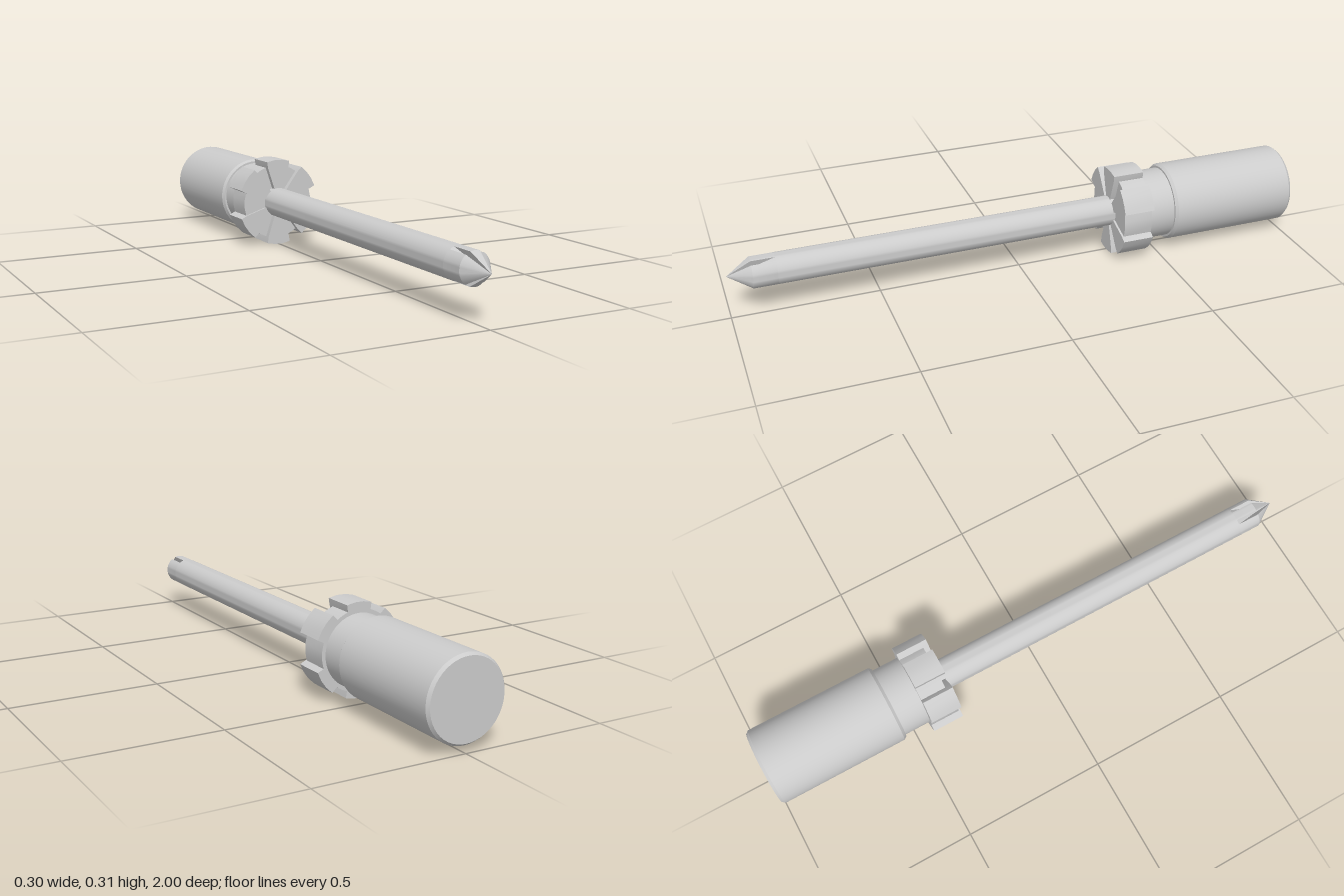
import * as THREE from 'three';
import { toCreasedNormals } from 'three/addons/utils/BufferGeometryUtils.js';

const AXIS_Y = 0.158;
const rad = THREE.MathUtils.degToRad;
const material = new THREE.MeshStandardMaterial({ color: 0xcccccc, side: THREE.DoubleSide });

// Profile points are [radius, z]; the sector runs from angle a to b in degrees.
function turned(profile, segments = 48, a = -90, b = 270) {
  const points = profile.map(([r, z]) => new THREE.Vector2(r, z));
  const geo = new THREE.LatheGeometry(points, segments, rad(a + 90), rad(b - a));
  geo.rotateX(Math.PI / 2);
  return toCreasedNormals(geo, rad(30));
}

// Pie-shaped block between z0 and z1; the edge may taper to a narrower rim.
function sector(mid, half, rimHalf, rInner, rOuter, z0, z1) {
  const polar = (r, deg) => new THREE.Vector2(r * Math.cos(rad(deg)), r * Math.sin(rad(deg)));
  const points = [polar(0.03, mid - half), polar(rInner, mid - half)];
  for (let i = 0; i <= 3; i++) points.push(polar(rOuter, mid + rimHalf * (i * 2 / 3 - 1)));
  points.push(polar(rInner, mid + half), polar(0.03, mid + half));
  const geo = new THREE.ExtrudeGeometry(new THREE.Shape(points), { depth: z1 - z0, bevelEnabled: false });
  geo.translate(0, 0, z0);
  return toCreasedNormals(geo, rad(20));
}

export function createModel() {
  const group = new THREE.Group();
  const add = (name, geo, parent = group) => {
    const mesh = new THREE.Mesh(geo, material);
    mesh.name = name;
    parent.add(mesh);
    return mesh;
  };
  const body = new THREE.Group();
  body.name = 'screwdriver';
  body.position.y = AXIS_Y;
  group.add(body);

  // Handle with chamfered ends and the narrower neck
  add('handle', turned([
    [0, -1], [0.128, -1], [0.136, -0.99], [0.136, -0.548], [0.129, -0.538],
    [0.122, -0.538], [0.122, -0.44], [0, -0.44],
  ]), body);

  // Shaft up to where the tip flutes begin
  add('shaft', turned([[0.053, -0.44], [0.053, 0.84]], 40), body);

  // Collar: six raised lugs with recessed sectors between them
  const collar = new THREE.Group();
  collar.name = 'collar';
  body.add(collar);
  for (const mid of [36, 90, 144, 216, 270, 324]) {
    add('collarLug', sector(mid, 18, 16.6, 0.134, 0.158, -0.445, -0.335), collar);
  }
  for (const mid of [0, 180]) {
    add('collarWideGap', sector(mid, 18, 18, 0.135, 0.135, -0.445, -0.342), collar);
  }
  for (const mid of [63, 117, 243, 297]) {
    add('collarNarrowGap', sector(mid, 9, 9, 0.135, 0.135, -0.445, -0.355), collar);
  }

  // Pointed tip: ribs separated by four sloping flutes with radial walls
  const tip = new THREE.Group();
  tip.name = 'tip';
  body.add(tip);
  for (const [a, b] of [[-54, 54], [72, 108], [126, 234], [252, 288]]) {
    add('tipRib', turned([[0.053, 0.84], [0.053, 0.92], [0, 1]], Math.round((b - a) / 9), a, b), tip);
  }
  for (const mid of [63, 117, 243, 297]) {
    add('fluteFloor', turned([[0.053, 0.84], [0.022, 0.92], [0, 1]], 3, mid - 9, mid + 9), tip);
    for (const side of [-9, 9]) {
      const c = Math.cos(rad(mid + side)), s = Math.sin(rad(mid + side));
      const corners = [[0, 1], [0.022, 0.92], [0.053, 0.92], [0.022, 0.92], [0.053, 0.84], [0.053, 0.92]];
      if (side > 0) corners.reverse();
      const wall = new THREE.BufferGeometry();
      wall.setAttribute('position', new THREE.Float32BufferAttribute(
        corners.flatMap(([r, z]) => [r * c, r * s, z]), 3));
      wall.computeVertexNormals();
      add('fluteWall', wall, tip);
    }
  }
  return group;
}
